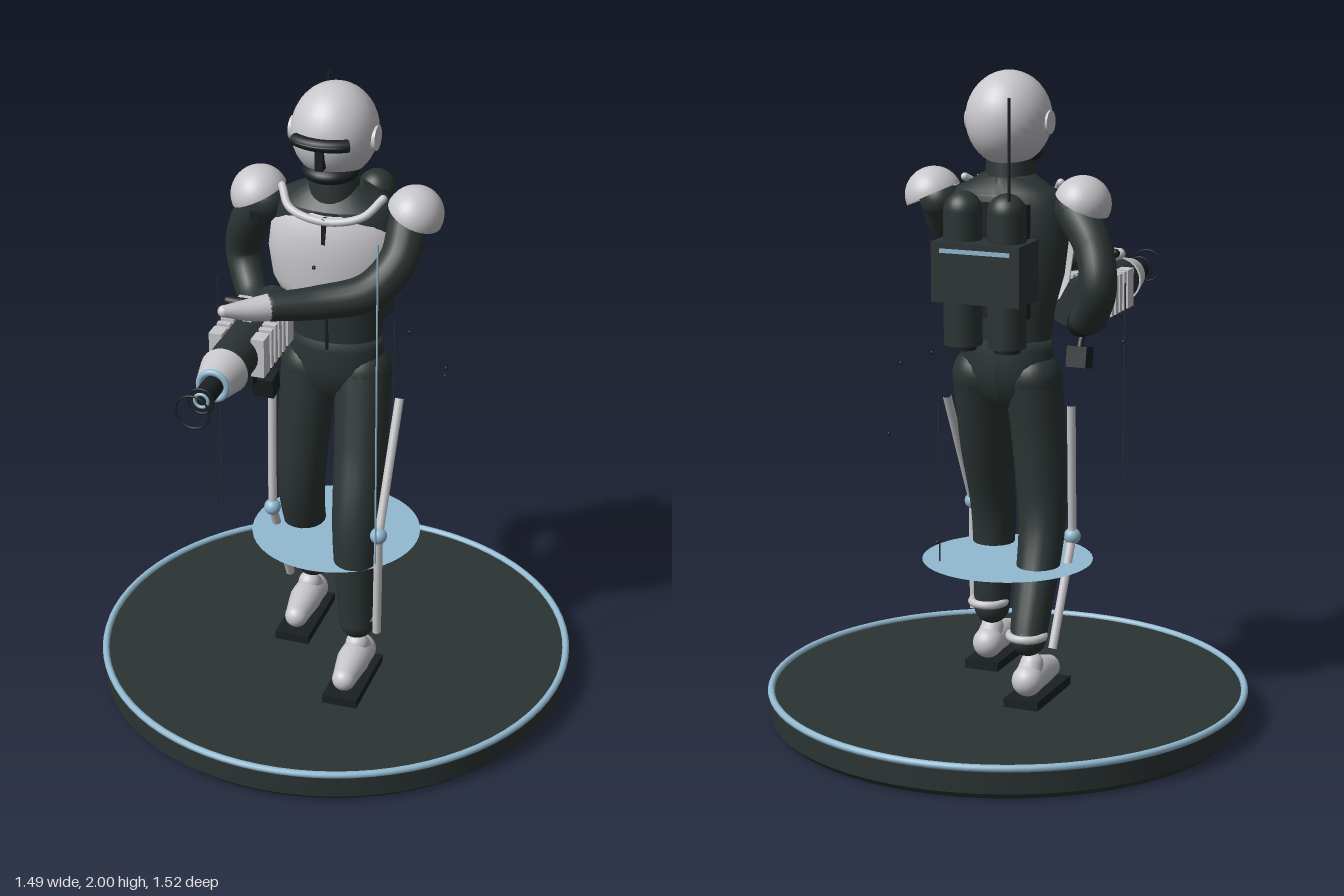
import * as THREE from 'three';

const mat = (name, color) => Object.assign(new THREE.MeshStandardMaterial({ color }), { name });
const V = (p) => new THREE.Vector3(...p);

export function createModel() {
  const dark = mat('dark suit', 0x2b3433);
  const black = mat('black trim', 0x1a2022);
  const light = mat('pale armour', 0xc8c8cc);
  const blue = mat('light blue', 0x92b9d0);
  const sheet = mat('blue disc', 0x92b9d0);
  const plate = mat('pale plate', 0xc8c8cc);
  sheet.side = plate.side = THREE.DoubleSide;

  const root = new THREE.Group();
  const add = (name, geo, material, pos = [0, 0, 0], rot = [0, 0, 0], scale = [1, 1, 1]) => {
    const m = new THREE.Mesh(geo, material);
    m.name = name;
    m.position.set(...pos);
    m.rotation.set(...rot);
    m.scale.set(...scale);
    root.add(m);
    return m;
  };
  const box = (x, y, z) => new THREE.BoxGeometry(x, y, z);
  const cyl = (a, b, h, n = 24) => new THREE.CylinderGeometry(a, b, h, n);
  const ball = (r) => new THREE.SphereGeometry(r, 32, 20);
  const ring = (r, t) => new THREE.TorusGeometry(r, t, 8, 40);

  // Tapered tube through points, with rounded ends
  const limb = (name, pts, radii, material) => {
    const curve = new THREE.CatmullRomCurve3(pts.map(V));
    const n = 28, s = 18;
    const geo = new THREE.TubeGeometry(curve, n, 1, s);
    const p = geo.attributes.position, v = new THREE.Vector3();
    for (let i = 0; i <= n; i++) {
      const c = curve.getPointAt(i / n), f = (i / n) * (radii.length - 1);
      const k = Math.min(Math.floor(f), radii.length - 2);
      const r = THREE.MathUtils.lerp(radii[k], radii[k + 1], f - k);
      for (let j = 0; j <= s; j++) {
        const id = i * (s + 1) + j;
        v.fromBufferAttribute(p, id).sub(c).multiplyScalar(r).add(c);
        p.setXYZ(id, v.x, v.y, v.z);
      }
    }
    add(name, geo, material);
    add(name + 'StartCap', ball(radii[0]), material, pts[0]);
    add(name + 'EndCap', ball(radii.at(-1)), material, pts.at(-1));
  };
  const rod = (name, pts, r, material) => {
    const path = new THREE.CurvePath();
    for (let i = 1; i < pts.length; i++) path.add(new THREE.LineCurve3(V(pts[i - 1]), V(pts[i])));
    add(name, new THREE.TubeGeometry(path, 16, r, 8), material);
  };

  // Elliptical sections [y, halfWidth, halfDepth], swept from angle a0 to a1
  const loft = (sections, z, a0 = -Math.PI, a1 = Math.PI, n = 36) => {
    const pos = [], idx = [];
    sections.forEach(([y, w, d], i) => {
      for (let j = 0; j <= n; j++) {
        const a = a0 + ((a1 - a0) * j) / n;
        pos.push(Math.sin(a) * w, y, Math.cos(a) * d + z);
        if (i && j < n) {
          const b = i * (n + 1) + j, c = b - n - 1;
          idx.push(c, c + 1, b, c + 1, b + 1, b);
        }
      }
    });
    const g = new THREE.BufferGeometry();
    g.setAttribute('position', new THREE.Float32BufferAttribute(pos, 3));
    g.setIndex(idx);
    g.computeVertexNormals();
    return g;
  };

  // Display base and floating disc
  const profile = [[0, 0], [0.715, 0], [0.735, 0.02], [0.735, 0.095], [0, 0.095]];
  profile.slice(1).forEach((b, i) => {
    const pair = [profile[i], b].map((q) => new THREE.Vector2(...q));
    add('base', new THREE.LatheGeometry(pair, 64), dark, [0, 0, -0.015]);
  });
  add('baseRim', new THREE.TorusGeometry(0.732, 0.011, 10, 80), blue, [0, 0.097, -0.015], [Math.PI / 2, 0, 0]);
  add('floatingDisc', new THREE.CircleGeometry(0.262, 48), sheet, [0, 0.505, -0.018], [-Math.PI / 2, 0, 0]);

  // Body
  add('torso', loft([[1.14, 0.138, 0.09], [1.2, 0.138, 0.09], [1.3, 0.152, 0.095], [1.4, 0.18, 0.105],
    [1.52, 0.195, 0.11], [1.6, 0.185, 0.1], [1.65, 0.16, 0.09], [1.69, 0.08, 0.07], [1.69, 0, 0]], -0.02), dark);
  add('pelvis', loft([[0.98, 0, 0], [0.99, 0.06, 0.05], [1.04, 0.13, 0.085], [1.1, 0.152, 0.098],
    [1.17, 0.143, 0.093], [1.2, 0.138, 0.09], [1.2, 0, 0]], -0.02), dark);
  add('chestPlate', loft([[1.31, 0.1, 0.1], [1.325, 0.165, 0.115], [1.38, 0.195, 0.125], [1.47, 0.208, 0.133],
    [1.54, 0.2, 0.128], [1.59, 0.17, 0.115], [1.62, 0.12, 0.1]], -0.02, -1.5, 1.5), plate);
  add('chestSeam', box(0.012, 0.12, 0.02), black, [0, 1.56, 0.098]);
  add('bellySeam', box(0.008, 0.14, 0.008), black, [0, 1.25, 0.074]);
  limb('collar', [[-0.155, 1.67, 0.02], [-0.11, 1.63, 0.08], [0, 1.61, 0.1], [0.11, 1.63, 0.08],
    [0.155, 1.67, 0.02]], [0.012, 0.012], light);
  add('yoke', cyl(0.085, 0.165, 0.055), dark, [0, 1.665, -0.01], [0, 0, 0], [1, 1, 0.65]);

  // Head
  add('neck', cyl(0.07, 0.082, 0.12), dark, [0, 1.68, 0]);
  add('helmet', ball(1), light, [0, 1.858, -0.007], [0, 0, 0], [0.128, 0.142, 0.14]);
  add('chinGuard', ball(1), black, [0, 1.75, 0.035], [0, 0, 0], [0.085, 0.035, 0.085]);
  const arc = 1.2;
  const visor = (t) => new THREE.TorusGeometry(0.143, t, 10, 24, arc).rotateZ(Math.PI / 2 - arc / 2).rotateX(Math.PI / 2);
  add('visor', visor(0.019), black, [0, 1.867, 0]);
  add('visorSlit', visor(0.004), dark, [0, 1.867, 0.017]);
  add('noseGuard', box(0.024, 0.075, 0.03), black, [0, 1.825, 0.13]);
  for (const s of [-1, 1]) add('earDisc', cyl(0.035, 0.037, 0.02), light, [s * 0.122, 1.85, 0], [0, 0, Math.PI / 2]);

  // Shoulder domes
  for (const s of [-1, 1]) {
    const dome = new THREE.SphereGeometry(0.085, 32, 14, 0, Math.PI * 2, 0, Math.PI / 2);
    add('shoulderDome', dome, plate, [s * 0.24, 1.617, -0.02], [0, 0, -s * 0.44], [1, 1, 1.12]);
    add('shoulderClip', box(0.03, 0.03, 0.04), black, [s * 0.235, 1.565, 0.02]);
  }

  // Arms and gloves
  limb('rightArm', [[-0.215, 1.6, -0.02], [-0.29, 1.5, -0.06], [-0.32, 1.38, -0.095], [-0.27, 1.28, -0.03],
    [-0.21, 1.25, 0.06]], [0.062, 0.058, 0.055, 0.05, 0.04], dark);
  limb('leftArm', [[0.225, 1.6, -0.01], [0.215, 1.5, 0.06], [0.15, 1.425, 0.135], [0.02, 1.4, 0.2],
    [-0.1, 1.4, 0.27]], [0.06, 0.058, 0.056, 0.05, 0.042], dark);
  limb('leftGlove', [[-0.1, 1.4, 0.27], [-0.16, 1.4, 0.31], [-0.22, 1.405, 0.35]], [0.042, 0.033, 0.018], light);
  limb('leftFingers', [[-0.15, 1.41, 0.3], [-0.225, 1.415, 0.3]], [0.02, 0.014], black);
  add('rightGlove', ball(0.045), black, [-0.2, 1.24, 0.08]);

  // Legs, splints and shoes
  const legs = [
    { side: 'left', s: 1, dz: 0, path: [[0.085, 1.08, -0.02], [0.1, 0.85, 0.05], [0.11, 0.6, 0.133], [0.122, 0.29, 0.145]],
      splint: [[0.2, 1, -0.02], [0.195, 0.62, 0.165], [0.19, 0.27, 0.16]], cuff: [0.125, 0.31, 0.125] },
    { side: 'right', s: -1, dz: -0.29, path: [[-0.085, 1.08, -0.02], [-0.1, 0.85, -0.005], [-0.112, 0.62, -0.015],
      [-0.118, 0.3, -0.14]], splint: [[-0.2, 1, 0], [-0.19, 0.58, 0.04], [-0.182, 0.26, -0.1]], cuff: [-0.118, 0.31, -0.15] },
  ];
  for (const { side, s, dz, path, splint, cuff } of legs) {
    limb(side + 'Leg', path, [0.088, 0.08, 0.068, 0.056], dark);
    rod(side + 'Splint', splint, 0.014, light);
    add(side + 'KneeJoint', ball(0.026), blue, splint[1]);
    add(side + 'Cuff', ring(0.052, 0.013), light, cuff, [Math.PI / 2, 0, 0]);
    const x = s * 0.127;
    limb(side + 'Shoe', [[x, 0.172, 0.125 + dz], [x, 0.178, 0.19 + dz], [x, 0.165, 0.29 + dz]], [0.048, 0.05, 0.037], light);
    limb(side + 'Ankle', [[x, 0.18, 0.14 + dz], [x, 0.215, 0.16 + dz]], [0.045, 0.036], light);
    add(side + 'Sole', box(0.11, 0.028, 0.27), black, [x, 0.112, 0.205 + dz]);
  }

  // Carried device, pointing forward
  const gx = -0.165, gy = 1.295, R = [Math.PI / 2, 0, 0];
  add('deviceBody', cyl(0.066, 0.066, 0.44), dark, [gx, gy, 0.28], R);
  add('deviceNose', cyl(0.052, 0.072, 0.09), light, [gx, gy, 0.545], R);
  add('noseRing', ring(0.042, 0.01), blue, [gx, gy, 0.592]);
  add('barrel', cyl(0.031, 0.031, 0.1), black, [gx, gy, 0.635], R);
  add('barrelBore', ring(0.02, 0.005), blue, [gx, gy, 0.685]);
  add('innerHoop', ring(0.038, 0.003), black, [gx, gy, 0.688]);
  add('outerHoop', ring(0.05, 0.003), black, [gx, gy, 0.755]);
  for (const s of [-1, 1]) {
    for (const [z, d] of [[0.165, 0.05], [0.22, 0.02], [0.255, 0.022], [0.29, 0.02], [0.325, 0.018], [0.375, 0.05]])
      add('sideRib', box(0.04, 0.12, d), light, [gx + s * 0.064, gy, z]);
  }
  add('topRail', box(0.026, 0.016, 0.11), light, [gx, gy + 0.066, 0.255]);
  add('foreGrip', box(0.04, 0.07, 0.035), black, [gx + 0.01, 1.205, 0.33]);
  add('cable', new THREE.TubeGeometry(new THREE.CatmullRomCurve3(
    [[gx, 1.23, 0.33], [-0.155, 1.21, 0.27], [-0.15, 1.17, 0.22], [-0.15, 1.13, 0.195]].map(V)), 20, 0.01, 8), black);
  add('cableBox', box(0.065, 0.065, 0.06), black, [-0.15, 1.105, 0.195], [0.2, 0, 0]);

  // Backpack
  add('packFrame', box(0.22, 0.34, 0.05), black, [0, 1.45, -0.13]);
  add('packBox', box(0.28, 0.18, 0.15), dark, [0, 1.43, -0.19]);
  add('packStripe', box(0.22, 0.012, 0.008), blue, [0, 1.495, -0.267]);
  for (const s of [-1, 1]) {
    add('packTank', cyl(0.058, 0.058, 0.4), dark, [s * 0.07, 1.405, -0.19]);
    add('tankDome', ball(0.058), dark, [s * 0.07, 1.605, -0.19]);
    add('tankFoot', cyl(0.04, 0.04, 0.02), black, [s * 0.07, 1.2, -0.19]);
  }
  add('antenna', cyl(0.005, 0.005, 0.43, 8), black, [-0.09, 1.73, -0.222]);

  // Thin upright lines and drifting motes
  add('upright', cyl(0.002, 0.002, 0.8, 6), dark, [-0.34, 0.97, 0.08]);
  add('upright', cyl(0.002, 0.002, 0.52, 6), dark, [0.088, 0.83, -0.33]);
  add('upright', cyl(0.003, 0.003, 1.06, 6), blue, [0.213, 1.11, 0.255]);
  for (const p of [[0.05, 0.66, -0.43], [0.26, 0.94, -0.31], [0.33, 1.1, -0.07], [0.19, 1.16, -0.15],
    [0.01, 1.52, 0.22], [-0.35, 1.2, 0.04]])
    add('mote', new THREE.SphereGeometry(0.006, 8, 6), black, p);

  return root;
}
